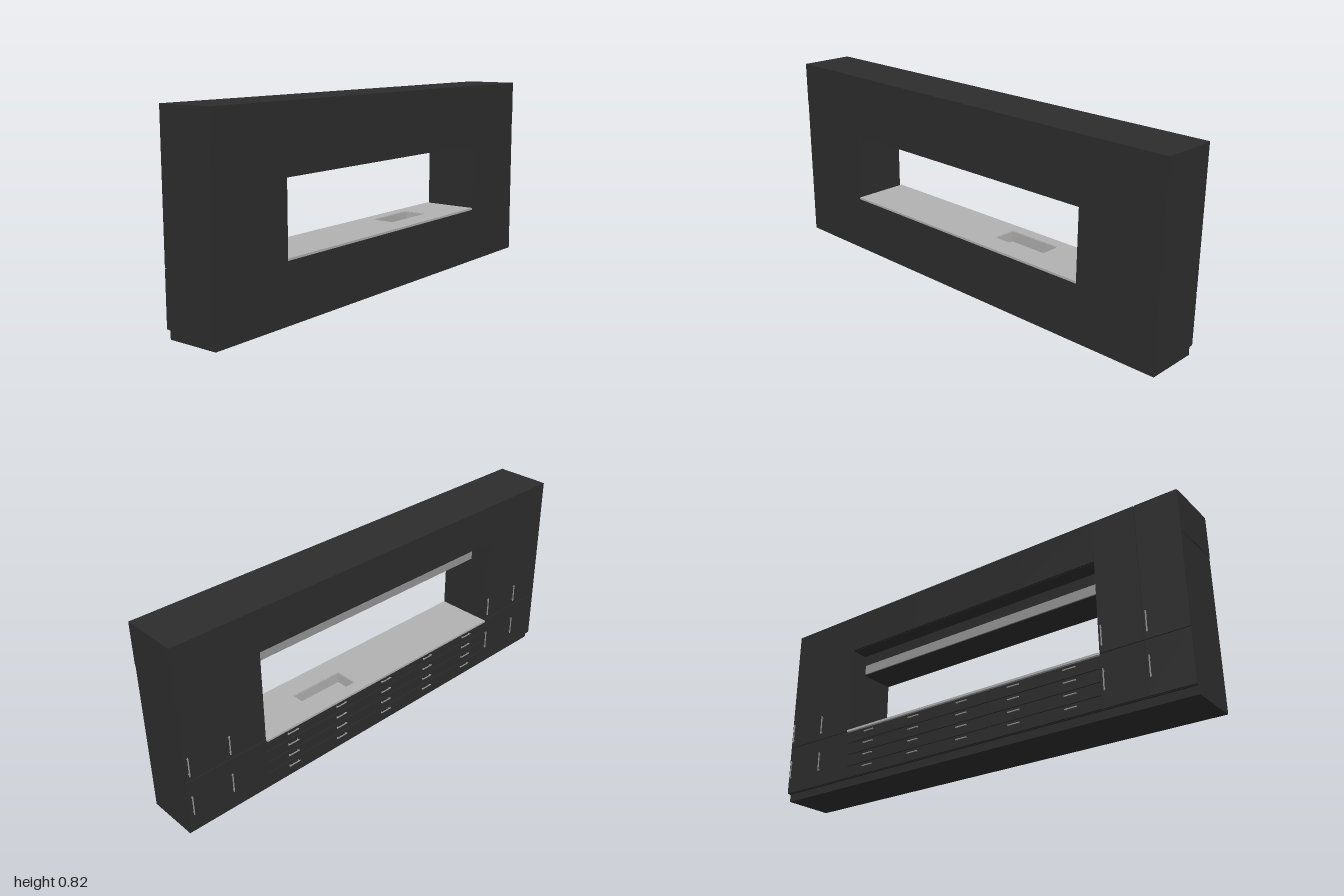
import * as THREE from 'three';

const mat = (name, color) => {
  const m = new THREE.MeshStandardMaterial({ color });
  m.name = name;
  return m;
};

export function createModel() {
  const root = new THREE.Group();
  root.name = 'kitchenWall';
  const dark = mat('charcoal', 0x2d2d2d);
  const stone = mat('lightStone', 0xb2b2b2);
  const metal = mat('brushedMetal', 0x969696);

  // Box given by its limits on each axis
  const box = (name, m, x0, x1, y0, y1, z0, z1, parent = root) => {
    const mesh = new THREE.Mesh(new THREE.BoxGeometry(x1 - x0, y1 - y0, z1 - z0), m);
    mesh.position.set((x0 + x1) / 2, (y0 + y1) / 2, (z0 + z1) / 2);
    mesh.name = name;
    parent.add(mesh);
    return mesh;
  };

  // Horizontal slab with the sink opening cut through
  const sink = { x0: -0.073, x1: 0.03, z0: -0.38, z1: -0.134 };
  const slab = (name, m, x0, x1, y0, y1, z0, z1) => {
    const rect = (target, a, b, c, d) =>
      target.moveTo(a, c).lineTo(b, c).lineTo(b, d).lineTo(a, d).closePath();
    const shape = rect(new THREE.Shape(), x0, x1, z0, z1);
    shape.holes.push(rect(new THREE.Path(), sink.x0, sink.x1, sink.z0, sink.z1));
    const geo = new THREE.ExtrudeGeometry(shape, { depth: y1 - y0, bevelEnabled: false });
    geo.rotateX(Math.PI / 2).translate(0, y1, 0);
    const mesh = new THREE.Mesh(geo, m);
    mesh.name = name;
    root.add(mesh);
  };

  const BACK = 0.124, BODY = -0.108, FACE = -0.116, TOP = 0.817;
  const OPEN = 0.635, KICK = 0.033, SPLIT = 0.25, UPPER = 0.64, GAP = 0.0015;

  // Plinth and carcasses
  box('plinth', dark, -0.099, BACK, 0, KICK, -0.998, 0.998);
  box('baseCarcass', dark, BODY, BACK, KICK, 0.198, -OPEN, OPEN);
  slab('baseCarcassTop', dark, BODY, BACK, 0.198, 0.243, -OPEN, OPEN);
  for (const s of [-1, 1]) {
    const a = Math.min(s * OPEN, s * 0.998), b = Math.max(s * OPEN, s * 0.998);
    box('tallCarcass', dark, BODY, BACK, KICK, UPPER, a, b);
  }
  box('topCarcass', dark, BODY, BACK, UPPER, TOP, -1, 1);

  // Recessed canopy below the wall cabinets, with its pale front strip
  box('canopy', dark, -0.037, BACK, 0.545, UPPER, -OPEN, OPEN);
  box('canopyStrip', metal, -0.042, -0.037, 0.547, 0.59, -0.625, 0.612);

  // Worktop and sunken basin
  slab('worktop', stone, -0.125, BACK + 0.001, 0.243, 0.252, -OPEN, OPEN);
  const basin = new THREE.Group();
  basin.name = 'sinkBasin';
  root.add(basin);
  const t = 0.003, { x0, x1, z0, z1 } = sink;
  box('basinFloor', stone, x0, x1, 0.198, 0.205, z0, z1, basin);
  box('basinSide', stone, x0, x0 + t, 0.2, 0.25, z0, z1, basin);
  box('basinSide', stone, x1 - t, x1, 0.2, 0.25, z0, z1, basin);
  box('basinEnd', stone, x0, x1, 0.2, 0.25, z0, z0 + t, basin);
  box('basinEnd', stone, x0, x1, 0.2, 0.25, z1 - t, z1, basin);

  const front = (name, y0, y1, a, b) =>
    box(name, dark, FACE, BODY, y0 + GAP, y1 - GAP, a + GAP, b - GAP);

  // Bar handle on two short posts, upright or level
  const handle = (name, y, z, length, upright) => {
    const g = new THREE.Group();
    g.name = name;
    const h = length / 2, r = 0.002;
    const hy = upright ? h : r, hz = upright ? r : h;
    box('bar', metal, -0.125, -0.1215, y - hy, y + hy, z - hz, z + hz, g);
    for (const s of [-0.8, 0.8]) {
      const py = y + (upright ? s * h : 0), pz = z + (upright ? 0 : s * h);
      box('post', metal, -0.1215, FACE, py - 0.0015, py + 0.0015, pz - 0.0015, pz + 0.0015, g);
    }
    root.add(g);
  };

  // Tall cabinet doors with upright handles
  for (const [a, b] of [[-1, -0.82], [-0.82, -OPEN], [OPEN, 0.82], [0.82, 1]]) {
    front('lowerTallDoor', KICK, SPLIT, a, b);
    front('upperTallDoor', SPLIT, TOP + GAP, a, b);
    handle('lowerDoorHandle', 0.142, a + 0.016, 0.085, true);
    handle('upperDoorHandle', 0.318, a + 0.016, 0.085, true);
  }

  // Wall cabinet doors
  const seams = [-OPEN, -0.453, -0.267, 0.093, 0.28, OPEN];
  for (let i = 0; i < seams.length - 1; i++)
    front('wallCabinetDoor', UPPER, TOP + GAP, seams[i], seams[i + 1]);

  // Five stacks of four drawers
  const w = (2 * OPEN) / 5, rowH = (0.243 - KICK) / 4;
  for (let c = 0; c < 5; c++) {
    for (let r = 0; r < 4; r++) {
      const a = -OPEN + c * w, y = KICK + r * rowH;
      front('drawerFront', y, y + rowH, a, a + w);
      handle('drawerHandle', y + 0.034, a + w / 2, 0.055, false);
    }
  }

  return root;
}
